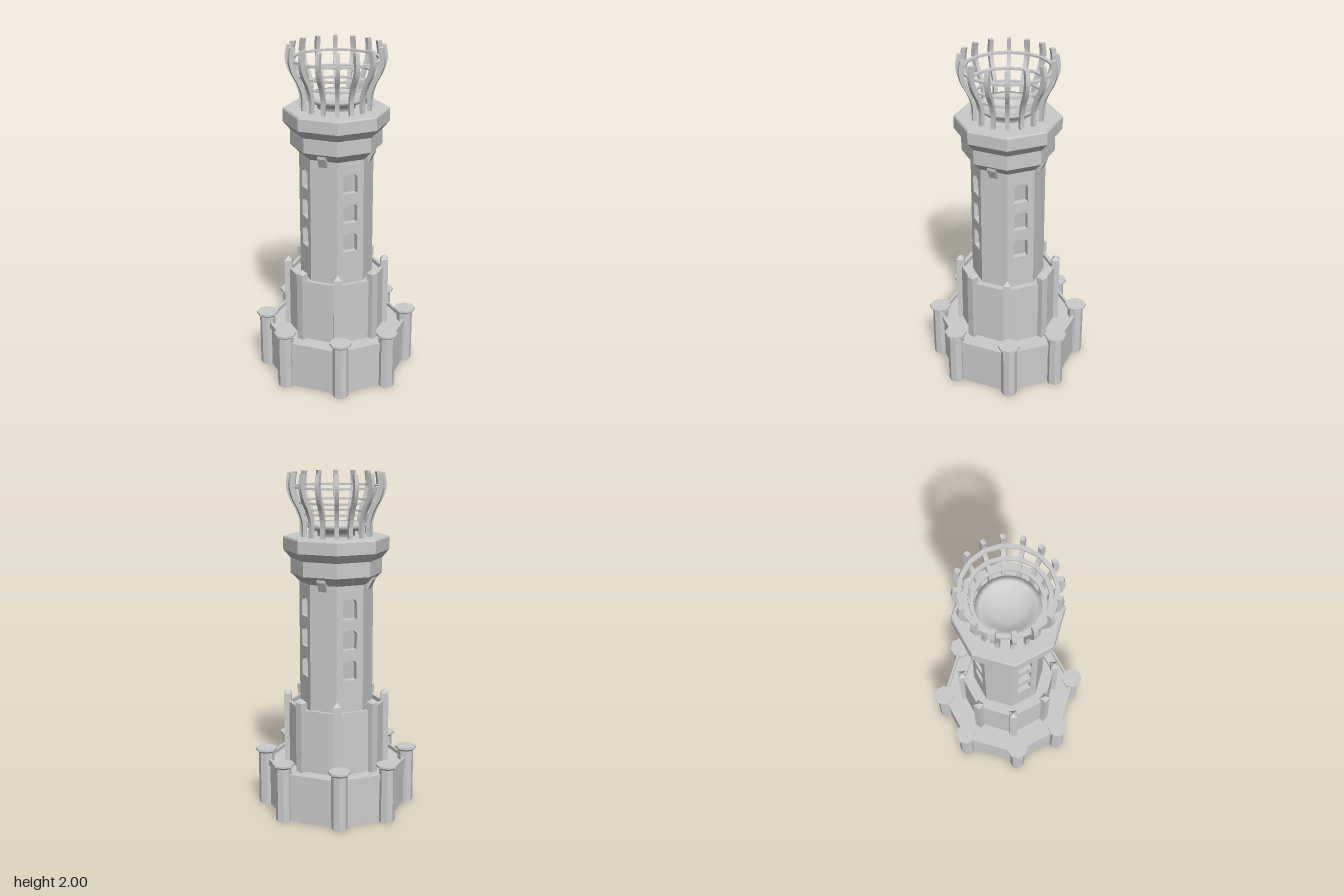
import * as THREE from 'three';

const mat = new THREE.MeshStandardMaterial({ color: 0xcccccc, flatShading: true });
const smooth = new THREE.MeshStandardMaterial({ color: 0xcccccc, side: THREE.DoubleSide });
const K = 1 / Math.cos(Math.PI / 8); // apothem to corner radius

export function createModel() {
  const root = new THREE.Group();

  const add = (name, geo, m = mat, parent = root) => {
    const mesh = new THREE.Mesh(geo, m);
    mesh.name = name;
    parent.add(mesh);
    return mesh;
  };
  // Eight-sided solid from [apothem, y] points, listed up the outside and down the inside
  const octagon = (pts) => new THREE.LatheGeometry(
    pts.map(([a, y]) => new THREE.Vector2(a * K, y)), 8, Math.PI / 8);
  // Calls fn with a group turned to each of n directions, local +x pointing outward
  const around = (n, start, fn) => {
    for (let i = 0; i < n; i++) {
      const g = new THREE.Group();
      g.rotation.y = start + (i * Math.PI * 2) / n;
      root.add(g);
      fn(g, i);
    }
  };

  // Base: open-bottomed wall, overhanging coping and floor
  add('baseWall', octagon([[0.37, 0], [0.39, 0], [0.39, 0.25], [0.37, 0.25], [0.37, 0]]));
  add('baseCoping', octagon([[0.37, 0.25], [0.4, 0.25], [0.4, 0.29], [0.385, 0.29], [0.385, 0.265]]));
  add('baseFloor', octagon([[0, 0.245], [0.385, 0.245], [0.385, 0.268], [0, 0.268]]));

  // Capped columns at the corners of the base
  const column = octagon([[0, 0], [0.044, 0], [0.044, 0.325], [0.06, 0.338], [0.06, 0.35], [0, 0.35]]);
  for (const [a, b] of [[0.15, 0.398], [0.398, 0.15]])
    for (const sx of [-1, 1])
      for (const sz of [-1, 1])
        add('baseColumn', column).position.set(a * sx, 0, b * sz);

  // Middle tier with a low rim
  add('middleTier', octagon([[0.27, 0.26], [0.27, 0.645], [0.25, 0.645], [0.25, 0.62], [0, 0.62]]));

  // Pointed posts at the corners of the middle tier
  around(8, Math.PI / 8, (g) => {
    const post = add('middlePost', new THREE.BoxGeometry(0.046, 0.43, 0.046), mat, g);
    post.position.set(0.291, 0.475, 0);
    const tip = add('middlePostTip', new THREE.ConeGeometry(0.0325, 0.026, 4, 1, true, Math.PI / 4), mat, g);
    tip.position.set(0.291, 0.703, 0);
  });

  // Tower shaft: eight thick panels, arched windows in every second one
  const w = 0.2 * Math.tan(Math.PI / 8);
  const panel = (windows) => {
    const s = new THREE.Shape();
    s.moveTo(-w, 0.61).lineTo(w, 0.61).lineTo(w, 1.39).lineTo(-w, 1.39).closePath();
    if (windows) for (const y of [0.82, 1.0, 1.18]) {
      const h = new THREE.Path();
      h.moveTo(-0.043, y).lineTo(-0.043, y + 0.09);
      h.quadraticCurveTo(-0.038, y + 0.117, 0, y + 0.117);
      h.quadraticCurveTo(0.038, y + 0.117, 0.043, y + 0.09);
      h.lineTo(0.043, y).closePath();
      s.holes.push(h);
    }
    return new THREE.ExtrudeGeometry(s, { depth: 0.035, bevelEnabled: false, curveSegments: 4 })
      .translate(0, 0, 0.165).rotateY(Math.PI / 2);
  };
  const panels = [panel(true), panel(false)];
  around(8, 0, (g, i) => add('towerPanel', panels[i % 2], mat, g));

  // Flared gallery
  add('gallery', octagon([
    [0, 1.375], [0.2, 1.375], [0.247, 1.425], [0.247, 1.512], [0.285, 1.56],
    [0.285, 1.63], [0.28, 1.64], [0, 1.64]]));

  // Brackets under the diagonal sides of the gallery
  const bs = new THREE.Shape();
  bs.moveTo(0.19, 1.34).lineTo(0.208, 1.34).lineTo(0.235, 1.395).lineTo(0.235, 1.42).lineTo(0.19, 1.42);
  const bracket = new THREE.ExtrudeGeometry(bs, { depth: 0.05, bevelEnabled: false }).translate(0, 0, -0.025);
  around(4, Math.PI / 4, (g) => add('bracket', bracket, mat, g));

  // Fire bowl
  const bowl = [[0.11, 1.635], [0.11, 1.665], [0.165, 1.685], [0.18, 1.71], [0.152, 1.71],
    [0.13, 1.69], [0.09, 1.672], [0.045, 1.664], [0, 1.661]];
  add('fireBowl', new THREE.LatheGeometry(bowl.map((p) => new THREE.Vector2(...p)), 32), smooth);

  // Basket ribs: a curved strip in the radius-height plane
  const rs = new THREE.Shape();
  const v = (x, y) => new THREE.Vector2(x, y);
  rs.moveTo(0.212, 1.635);
  rs.splineThru([v(0.213, 1.72), v(0.235, 1.79), v(0.272, 1.86), v(0.289, 1.93), v(0.278, 2.0)]);
  rs.lineTo(0.25, 2.0);
  rs.splineThru([v(0.259, 1.93), v(0.247, 1.87), v(0.212, 1.8), v(0.19, 1.72), v(0.19, 1.635)]);
  const rib = new THREE.ExtrudeGeometry(rs, { depth: 0.024, bevelEnabled: false, curveSegments: 3 })
    .translate(0, 0, -0.012);
  around(16, 0, (g) => add('basketRib', rib, mat, g));

  // Flat hoops inside the ribs
  for (const [r0, r1, y] of [[0.24, 0.264, 1.92], [0.212, 0.235, 1.835], [0.183, 0.203, 1.77]]) {
    const hoop = [[r0, y - 0.006], [r1, y - 0.006], [r1, y + 0.006], [r0, y + 0.006], [r0, y - 0.006]];
    add('basketHoop', new THREE.LatheGeometry(hoop.map((p) => new THREE.Vector2(...p)), 16));
  }
  return root;
}
